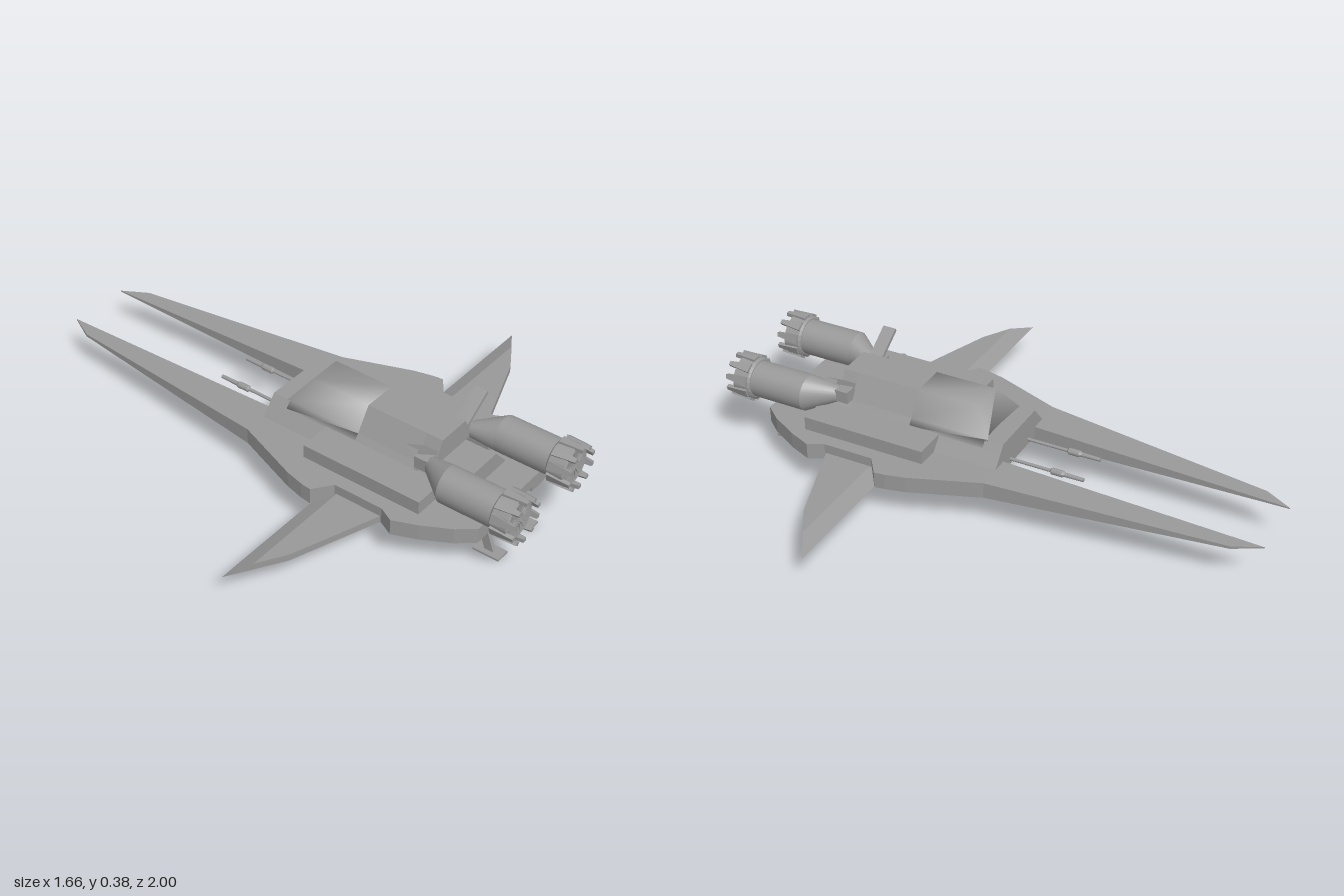
import * as THREE from 'three';
import { mergeVertices } from 'three/addons/utils/BufferGeometryUtils.js';

const material = new THREE.MeshStandardMaterial({ color: 0x999999, flatShading: true, side: THREE.DoubleSide });
const smooth = new THREE.MeshStandardMaterial({ color: 0x999999 });

function add(parent, name, geometry, mat = material) {
  const mesh = new THREE.Mesh(geometry, mat);
  mesh.name = name;
  parent.add(mesh);
  return mesh;
}

function box(parent, name, size, pos) {
  const mesh = add(parent, name, new THREE.BoxGeometry(...size));
  mesh.position.set(...pos);
  return mesh;
}

const shapeOf = (points) => new THREE.Shape(points.map(([a, b]) => new THREE.Vector2(a, b)));

// Slab from an (x, z) outline between two heights
function plan(points, y0, y1) {
  const g = new THREE.ExtrudeGeometry(shapeOf(points), { depth: y1 - y0, bevelEnabled: false });
  return g.rotateX(Math.PI / 2).translate(0, y1, 0);
}

// Prism from a symmetric (x, y) half section between two z positions
function section(half, z0, z1) {
  const mirrored = half.map(([x, y]) => [-x, y]).reverse();
  const g = new THREE.ExtrudeGeometry(shapeOf([...half, ...mirrored]), { depth: z1 - z0, bevelEnabled: false });
  return g.translate(0, 0, z0);
}

// Solid of revolution about z from (radius, z) points
function turned(points, sides) {
  return new THREE.LatheGeometry(points.map(([r, z]) => new THREE.Vector2(r, z)), sides).rotateX(Math.PI / 2);
}

// Move every vertex by a rule
function reshape(g, rule) {
  const p = g.attributes.position;
  const v = new THREE.Vector3();
  for (let i = 0; i < p.count; i++) {
    rule(v.fromBufferAttribute(p, i));
    p.setXYZ(i, v.x, v.y, v.z);
  }
  g.computeVertexNormals();
  return g;
}

// Share corners so the shading runs smoothly across them
function softened(g) {
  g.deleteAttribute('normal');
  g.deleteAttribute('uv');
  const merged = mergeVertices(g);
  merged.computeVertexNormals();
  return merged;
}

// Sheared block running from a bottom point to a top point
function strut(parent, name, w, d, bottom, top) {
  const g = reshape(new THREE.BoxGeometry(w, 1, d), (v) => {
    const end = v.y < 0 ? bottom : top;
    v.set(v.x + end[0], end[1], v.z + end[2]);
  });
  return add(parent, name, g);
}

function engine(s) {
  const group = new THREE.Group();
  group.name = s > 0 ? 'leftEngine' : 'rightEngine';
  const x = s * 0.165, y = 0.265;

  // Intake swept toward the fuselage
  const intake = new THREE.CylinderGeometry(0.066, 0.028, 0.1, 24).rotateX(Math.PI / 2);
  reshape(intake, (v) => { if (v.z < 0) v.x -= s * 0.045; });
  add(group, 'intake', intake, smooth).position.set(x, y, 0.65);
  box(group, 'intakeDuct', [0.05, 0.045, 0.05], [s * 0.12, y + 0.005, 0.58]);

  const barrel = add(group, 'engineBarrel', new THREE.CylinderGeometry(0.066, 0.066, 0.22, 32).rotateX(Math.PI / 2), smooth);
  barrel.position.set(x, y, 0.81);

  // Nozzle collar with a shallow face
  const profile = [[0, 0.905], [0.07, 0.905], [0.077, 0.912], [0.077, 0.97], [0.068, 0.975], [0, 0.965]];
  add(group, 'nozzleCollar', turned(profile, 24)).position.set(x, y, 0);

  for (let i = 0; i < 18; i++) {
    const spoke = new THREE.Group();
    spoke.name = 'nozzleVane';
    spoke.position.set(x, y, 0.968);
    spoke.rotation.z = (i / 18) * Math.PI * 2;
    box(spoke, 'vane', [0.036, 0.003, 0.012], [0.038, 0, 0]);
    group.add(spoke);
  }

  // Tapered petals round the rim
  for (let i = 0; i < 10; i++) {
    const petal = new THREE.Group();
    petal.name = 'nozzlePetal';
    petal.position.set(x, y, 0);
    petal.rotation.z = ((i + 0.5) / 10) * Math.PI * 2;
    const g = reshape(new THREE.BoxGeometry(0.014, 0.034, 0.085), (v) => {
      if (v.z > 0) { v.y *= 0.45; v.x -= 0.003; }
    });
    add(petal, 'petal', g).position.set(0.077, 0, 0.957);
    group.add(petal);
  }
  return group;
}

export function createModel() {
  const model = new THREE.Group();
  model.name = 'spacecraft';

  // Central deck, raised a little underneath
  add(model, 'centreDeck', plan([[-0.12, -0.05], [0.12, -0.05], [0.12, 0.85], [-0.12, 0.85]], 0.14, 0.18));

  for (const s of [1, -1]) {
    const side = s > 0 ? 'left' : 'right';
    const flip = (pts) => pts.map(([x, z]) => [s * x, z]);

    const deck = [[0.12, -0.05], [0.265, -0.05], [0.358, 0.2], [0.375, 0.27], [0.38, 0.31], [0.312, 0.36],
      [0.312, 0.55], [0.34, 0.605], [0.305, 0.69], [0.25, 0.79], [0.2, 0.85], [0.12, 0.85]];
    add(model, side + 'Deck', plan(flip(deck), 0.12, 0.18));

    // Long prong thinning to a blade at its tip
    const prong = plan(flip([[0.12, -1], [0.172, -0.9], [0.265, -0.05], [0.12, -0.05]]), 0.12, 0.18);
    reshape(prong, (v) => { v.y = THREE.MathUtils.lerp(v.y, 0.144, (-0.05 - v.z) / 1.02); });
    add(model, side + 'Prong', prong);

    // Wing with a bevelled straight edge
    const wing = plan(flip([[0.28, 0.312], [0.828, 0.312], [0.635, 0.43], [0.28, 0.557]]), 0.12, 0.145);
    reshape(wing, (v) => {
      if (v.y > 0.13 && v.z < 0.32) {
        v.z = 0.368;
        if (Math.abs(v.x) > 0.7) v.x = s * 0.738;
      }
    });
    add(model, side + 'Wing', wing);

    box(model, side + 'SidePod', [0.125, 0.05, 0.47], [s * 0.2, 0.205, 0.425]);

    // Angled fin above the intake
    const fin = box(model, side + 'Fin', [0.16, 0.014, 0.05], [s * 0.135, 0.326, 0.58]);
    fin.rotation.z = s * 0.6;

    // Gun barrel with a swollen muzzle
    const gun = [[0, -0.33], [0.007, -0.33], [0.008, -0.26], [0.012, -0.25], [0.012, -0.21], [0.006, -0.205], [0.006, -0.04]];
    add(model, side + 'Gun', turned(gun, 10)).position.set(s * 0.068, 0.16, 0);

    strut(model, side + 'RearLeg', 0.016, 0.035, [s * 0.093, 0.008, 0.835], [s * 0.093, 0.15, 0.785]);
    box(model, side + 'RearFoot', [0.055, 0.008, 0.1], [s * 0.093, 0.004, 0.835]);
    model.add(engine(s));
  }

  // Front landing leg
  strut(model, 'frontLeg', 0.016, 0.035, [0, 0.008, 0.015], [0, 0.15, 0.06]);
  box(model, 'frontFoot', [0.055, 0.008, 0.15], [0, 0.004, 0]);

  // Nose and the shoulders running back from it
  add(model, 'nose', section([[0.178, 0.18], [0.14, 0.225], [0.12, 0.25]], -0.05, 0.02));
  add(model, 'shoulders', section([[0.178, 0.18], [0.14, 0.225]], 0.02, 0.55));

  // Softly shaded cockpit with a raked windscreen
  const upper = [[0.14, 0.225], [0.12, 0.25], [0.065, 0.335]];
  const cockpit = section(upper, 0.01, 0.31);
  reshape(cockpit, (v) => { if (v.y > 0.3 && v.z < 0.1) v.z = 0.075; });
  add(model, 'cockpit', softened(cockpit), smooth);
  add(model, 'rearFuselage', section(upper, 0.31, 0.55));

  // Stepped rear housing between the engines
  add(model, 'rearHousing', section([[0.14, 0.18], [0.075, 0.25]], 0.54, 0.73));
  add(model, 'rearSpine', section([[0.1, 0.25], [0.095, 0.28], [0.065, 0.335]], 0.54, 0.61));
  return model;
}
